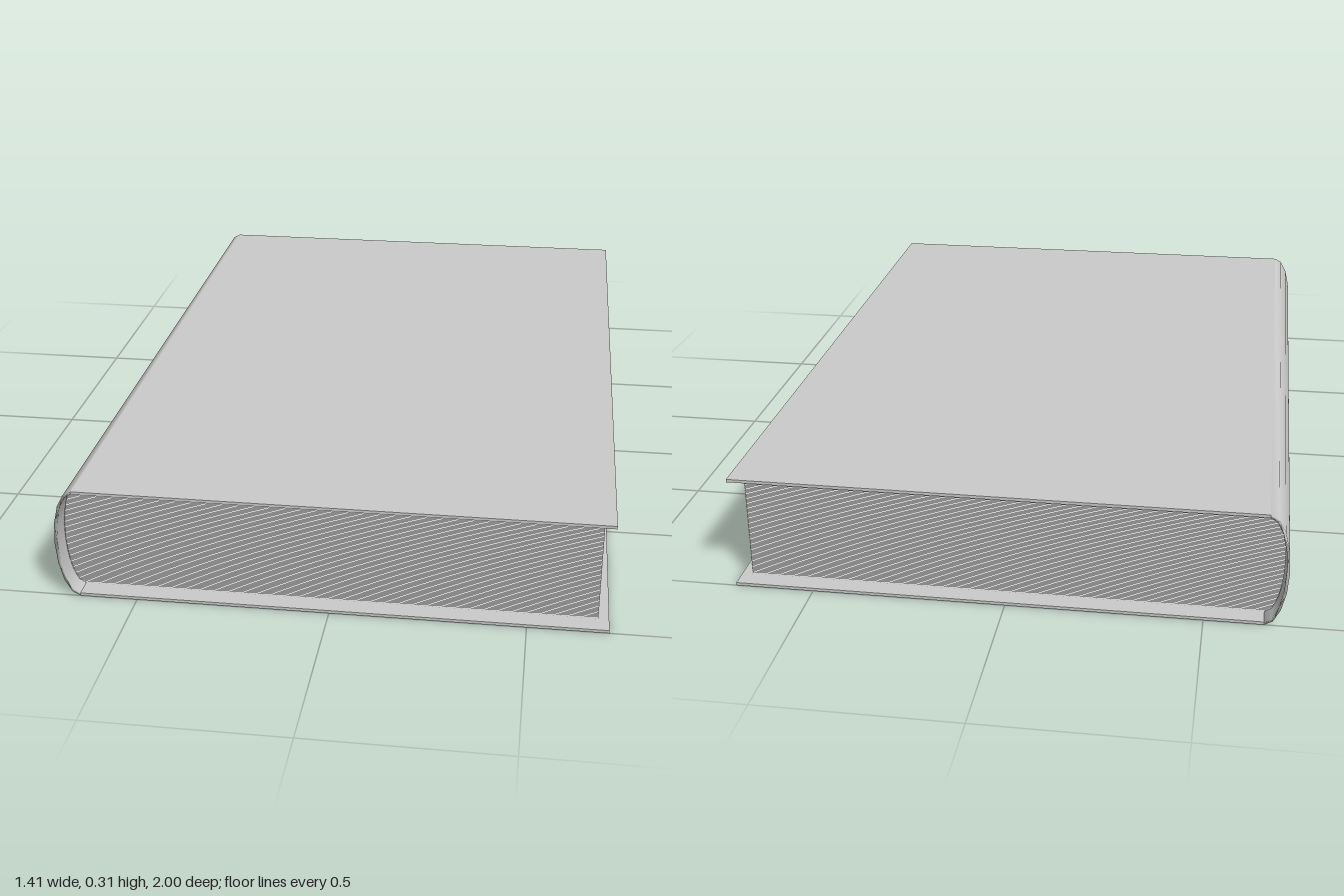
import * as THREE from 'three';
import { mergeVertices } from 'three/addons/utils/BufferGeometryUtils.js';

const HEIGHT = 0.306, LENGTH = 2, BOARD = 0.008;
const HINGE = -0.65, EDGE = 0.705, BULGE = 0.055;
const SHEETS = 80, SEGMENTS = 8;

export function createModel() {
  const book = new THREE.Group();
  book.name = 'book';
  const material = new THREE.MeshStandardMaterial({ color: 0xcccccc });
  const paper = new THREE.MeshStandardMaterial({ color: 0xcccccc, side: THREE.DoubleSide });

  // Flat cover boards
  const boardGeometry = new THREE.BoxGeometry(EDGE - HINGE, BOARD, LENGTH);
  for (const [name, y] of [['bottomCover', BOARD / 2], ['topCover', HEIGHT - BOARD / 2]]) {
    const board = new THREE.Mesh(boardGeometry, material);
    board.name = name;
    board.position.set((EDGE + HINGE) / 2, y, 0);
    book.add(board);
  }

  // Rounded spine: a thin half-elliptical shell along z, smooth all round
  const arc = (inset) => Array.from({ length: SEGMENTS + 1 }, (_, i) => {
    const a = Math.PI / 2 + (i / SEGMENTS) * Math.PI;
    return new THREE.Vector2(
      HINGE + (BULGE - inset) * Math.cos(a),
      HEIGHT / 2 + (HEIGHT / 2 - inset) * Math.sin(a)
    );
  });
  const profile = new THREE.Shape([...arc(0), ...arc(BOARD).reverse()]);
  const shell = new THREE.ExtrudeGeometry(profile, { depth: LENGTH, bevelEnabled: false });
  shell.translate(0, 0, -LENGTH / 2);
  shell.deleteAttribute('normal');
  shell.deleteAttribute('uv');
  const spineGeometry = mergeVertices(shell);
  spineGeometry.computeVertexNormals();
  const spine = new THREE.Mesh(spineGeometry, material);
  spine.name = 'spine';
  book.add(spine);

  // Stack of thin sheets, set in from the covers and filling the hollow of the spine
  const pages = new THREE.Group();
  pages.name = 'pages';
  const right = EDGE - 0.027, sheetLength = LENGTH - 2 * 0.048;
  for (let i = 0; i < SHEETS; i++) {
    const t = ((i + 0.5) / SHEETS) * 2 - 1;
    const left = HINGE - (BULGE - BOARD - 0.003) * Math.sqrt(1 - t * t);
    const geometry = new THREE.PlaneGeometry(right - left, sheetLength).rotateX(-Math.PI / 2);
    const sheet = new THREE.Mesh(geometry, paper);
    sheet.name = 'sheet';
    sheet.position.set((left + right) / 2, HEIGHT / 2 + t * (HEIGHT / 2 - BOARD), 0);
    pages.add(sheet);
  }
  book.add(pages);

  return book;
}
